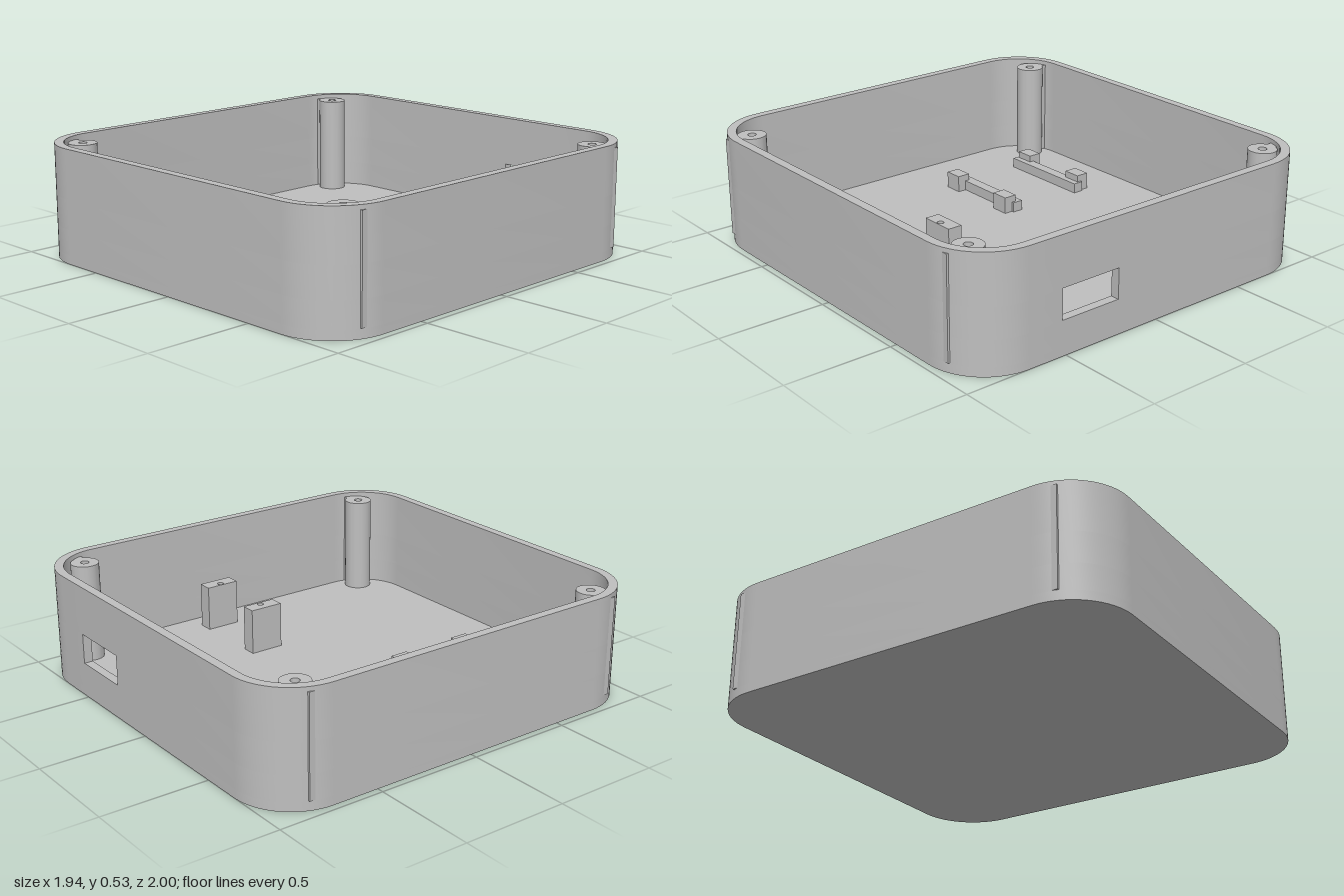
import * as THREE from 'three';
import { toCreasedNormals } from 'three/addons/utils/BufferGeometryUtils.js';

const HX = 0.97, HZ = 1, RADIUS = 0.28, WALL = 0.042, HEIGHT = 0.53, FLOOR = 0.042;
const PORT = { x0: 0.22, x1: 0.52, y0: 0.16, y1: 0.3 };

// Rounded outline, running from one side of the port all the way round to the other
function outline(inset) {
  const cx = HX - RADIUS, cy = HZ - RADIUS, r = RADIUS - inset, steps = 16;
  const pts = [new THREE.Vector2(PORT.x0, HZ - inset)];
  [[-1, 1], [-1, -1], [1, -1], [1, 1]].forEach(([sx, sy], i) => {
    const start = ((i + 1) % 4) * Math.PI / 2;
    for (let k = 0; k <= steps; k++) {
      const a = start + (k / steps) * Math.PI / 2;
      pts.push(new THREE.Vector2(sx * cx + r * Math.cos(a), sy * cy + r * Math.sin(a)));
    }
  });
  pts.push(new THREE.Vector2(PORT.x1, HZ - inset));
  return pts;
}

// Plan shape (shape y = -z) raised from y0 to y1
function raise(shape, y0, y1) {
  const g = new THREE.ExtrudeGeometry(shape, { depth: y1 - y0, bevelEnabled: false, curveSegments: 24 });
  g.rotateX(-Math.PI / 2);
  g.translate(0, y0, 0);
  return toCreasedNormals(g, 0.5);
}

function circle(x, z, r) {
  return new THREE.Path().absarc(x, -z, r, 0, Math.PI * 2, true);
}

function rect(x0, x1, z0, z1) {
  return new THREE.Shape([[x0, -z1], [x1, -z1], [x1, -z0], [x0, -z0]].map(([x, y]) => new THREE.Vector2(x, y)));
}

export function createModel() {
  const group = new THREE.Group();
  const grey = new THREE.MeshStandardMaterial({ color: 0xbfbfbf });
  grey.name = 'grey plastic';
  const add = (name, shape, y0, y1) => {
    const mesh = new THREE.Mesh(raise(shape, y0, y1), grey);
    mesh.name = name;
    group.add(mesh);
  };

  // Floor and walls; the middle band is left open at the port
  const outer = outline(0), inner = outline(WALL);
  add('floor', new THREE.Shape(outer), 0, FLOOR);
  const ring = new THREE.Shape(outer);
  ring.holes.push(new THREE.Path(inner));
  add('lowerWall', ring, FLOOR, PORT.y0);
  add('portWall', new THREE.Shape([...outer, ...[...inner].reverse()]), PORT.y0, PORT.y1);
  add('upperWall', ring, PORT.y1, HEIGHT);

  // Corner screw posts, each tied to the side wall by a rib
  for (const sx of [-1, 1]) {
    for (const sz of [-1, 1]) {
      const x = sx * 0.835, z = sz * 0.805;
      const post = new THREE.Shape().absarc(x, -z, 0.066, 0, Math.PI * 2, false);
      post.holes.push(circle(x, z, 0.02));
      add('screwPost', post, FLOOR, 0.51);
      const xs = [sx * 0.875, sx * 0.958].sort((a, b) => a - b);
      const zs = [sz * 0.78, sz * 0.828].sort((a, b) => a - b);
      add('postRib', rect(...xs, ...zs), 0.045, 0.51);
    }
  }

  // Drilled blocks that hold the small board
  for (const [x, holeX] of [[0.42, 0.436], [0.8, 0.784]]) {
    const block = rect(x - 0.035, x + 0.035, -0.178, -0.013);
    block.holes.push(circle(holeX, -0.095, 0.015));
    add('mountBlock', block, FLOOR, 0.26);
  }

  // Pair of mirrored rails with raised lugs on their outer sides
  for (const s of [-1, 1]) {
    const span = (a, b) => [-0.445 + s * a, -0.445 + s * b].sort((p, q) => p - q);
    add('rail', rect(...span(0.17, 0.222), 0.198, 0.672), FLOOR, 0.09);
    for (const z of [0.255, 0.62]) {
      add('railLug', rect(...span(0.2, 0.265), z - 0.045, z + 0.045), FLOOR, 0.122);
    }
  }
  return group;
}
